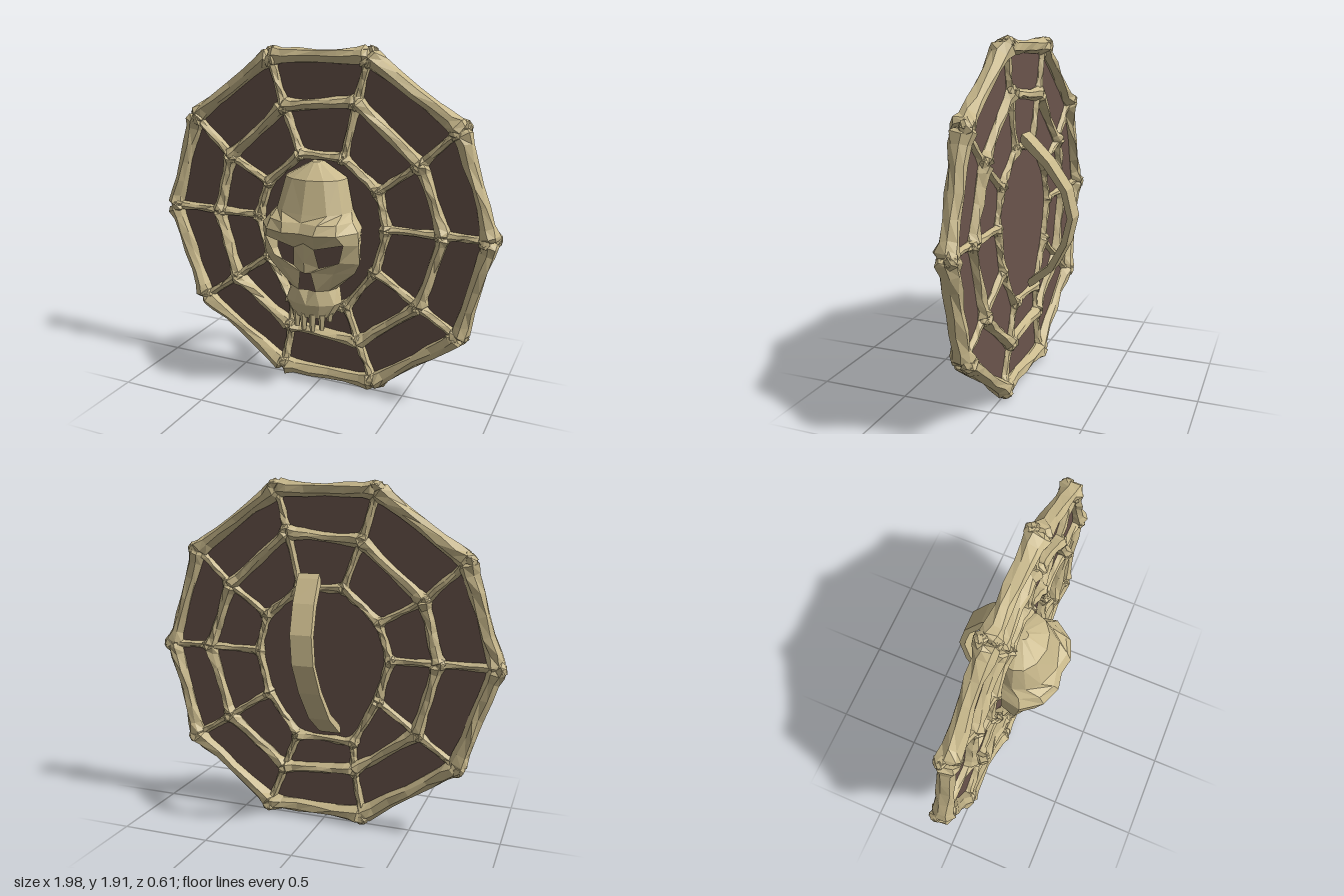
import * as THREE from 'three';

const bone = new THREE.MeshStandardMaterial({ color: 0xc9b98c, flatShading: true, side: THREE.DoubleSide });
bone.name = 'bone';
const hide = new THREE.MeshStandardMaterial({ color: 0x6a544c, side: THREE.DoubleSide });
hide.name = 'hide';

// Corner points of the three rings of bones, clockwise from the top
const outer = [[-0.29, 1.85], [0.27, 1.86], [0.76, 1.52], [0.94, 0.97], [0.8, 0.42],
  [0.33, 0.06], [-0.23, 0.06], [-0.75, 0.41], [-0.94, 0.96], [-0.77, 1.5]];
const middle = [[-0.21, 1.59], [0.21, 1.63], [0.56, 1.33], [0.7, 0.97], [0.58, 0.56],
  [0.24, 0.29], [-0.18, 0.32], [-0.53, 0.57], [-0.635, 0.96], [-0.55, 1.29]];
const inner = [[-0.11, 1.335], [0.14, 1.33], [0.34, 1.17], [0.39, 0.965], [0.33, 0.72],
  [0.16, 0.49], [-0.17, 0.48], [-0.31, 0.73], [-0.375, 0.96], [-0.31, 1.16]];

// Repeatable roughness from a position, so shared corners stay together
function rough(x, y, z, k) {
  const s = Math.sin(Math.round(x * 1e4) * 1.27 + Math.round(y * 1e4) * 3.11 + Math.round(z * 1e4) * 7.43 + k * 41.7) * 4375.85;
  return s - Math.floor(s) - 0.5;
}
function roughen(geo, amount) {
  const p = geo.attributes.position;
  for (let i = 0; i < p.count; i++) {
    const [x, y, z] = [p.getX(i), p.getY(i), p.getZ(i)];
    p.setXYZ(i, x + amount * rough(x, y, z, 1), y + amount * rough(x, y, z, 2), z + amount * rough(x, y, z, 3));
  }
  return geo;
}

function mesh(parent, name, geo, mat = bone) {
  const m = new THREE.Mesh(geo, mat);
  m.name = name;
  parent.add(m);
  return m;
}

// A long bone from a to b: waisted shaft, deeper than wide, with two knuckles at each end
function longBone(parent, name, a, b, r, depth, z) {
  const dx = b[0] - a[0], dy = b[1] - a[1], len = Math.hypot(dx, dy);
  const g = new THREE.Group();
  g.name = name;
  const profile = [[0, 0], [0.9, 0], [1.1, 0.04], [0.88, 0.13], [0.78, 0.3], [0.75, 0.5],
    [0.78, 0.7], [0.88, 0.87], [1.1, 0.96], [0.9, 1], [0, 1]];
  const shaft = new THREE.LatheGeometry(profile.map(([x, y]) => new THREE.Vector2(x * r, y * len)), 7);
  mesh(g, 'shaft', roughen(shaft, r * 0.3).scale(1, 1, depth));
  for (const y of [0, len]) for (const side of [-1, 1]) {
    const knob = roughen(new THREE.IcosahedronGeometry(r * 0.75, 0), r * 0.3);
    mesh(g, 'knuckle', knob).position.set(side * r * 0.5, y, side * r * 0.5 * depth);
  }
  g.position.set(a[0], a[1], z);
  g.rotation.z = Math.atan2(-dx, dy);
  parent.add(g);
}

// Half of the skull as rows from crown to jaw, each from the midline to the side: [x, z]
const skullRows = [
  [1.31, [0, 0.08], [0.015, 0.075], [0.025, 0.06], [0.03, 0.04], [0.03, 0.02]],
  [1.23, [0, 0.185], [0.09, 0.165], [0.15, 0.12], [0.17, 0.07], [0.165, 0.02]],
  [1.06, [0, 0.24], [0.13, 0.215], [0.19, 0.15], [0.215, 0.08], [0.2, 0.02]],
  [1.02, [0, 0.255], [0.1, 0.275], [0.19, 0.23], [0.24, 0.13], [0.22, 0.02]],
  [0.97, [0, 0.285], [0.09, 0.302], [0.2, 0.26], [0.28, 0.15], [0.255, 0.03]],
  [0.9, [0, 0.225], [0.06, 0.22], [0.225, 0.22], [0.28, 0.14], [0.25, 0.03]],
  [0.79, [0, 0.22], [0.075, 0.19], [0.19, 0.19], [0.28, 0.12], [0.25, 0.03]],
  [0.73, [0, 0.215], [0.03, 0.2], [0.15, 0.17], [0.25, 0.11], [0.22, 0.04]],
  [0.62, [0, 0.165], [0.05, 0.18], [0.11, 0.14], [0.135, 0.09], [0.13, 0.03]],
  [0.54, [0, 0.2], [0.075, 0.185], [0.145, 0.14], [0.165, 0.08], [0.14, 0.03]],
  [0.46, [0, 0.18], [0.06, 0.17], [0.1, 0.14], [0.12, 0.09], [0.11, 0.03]]];

function skullShell() {
  const pos = [];
  const openings = ['5,1', '7,0']; // eye socket and nose
  for (const s of [1, -1]) {
    const at = (r, c) => {
      const [x, z] = skullRows[r][c + 1];
      // sockets slant down towards the nose
      const slant = (r === 5 || r === 6) ? [0, -0.03, 0.015, 0, 0][c] : 0;
      return [s * x, skullRows[r][0] + slant, z];
    };
    for (let r = 0; r < skullRows.length - 1; r++) for (let c = 0; c < 4; c++) {
      if (openings.includes(r + ',' + c)) continue;
      const a = at(r, c), b = at(r, c + 1), d = at(r + 1, c), e = at(r + 1, c + 1);
      pos.push(...(s > 0 ? [a, d, b, b, d, e] : [a, b, d, b, e, d]).flat());
    }
    // cap over the crown
    for (let c = 0; c < 4; c++) {
      const a = at(0, c), b = at(0, c + 1), k = [0, 1.31, 0.02];
      pos.push(...(s > 0 ? [k, a, b] : [k, b, a]).flat());
    }
  }
  const g = new THREE.BufferGeometry();
  g.setAttribute('position', new THREE.Float32BufferAttribute(pos, 3));
  g.computeVertexNormals();
  return g;
}

// Bent grip on the back, drawn in side profile and leaned sideways
function gripGeometry() {
  const out = [[0.04, 1.415], [0.07, 1.39], [0.18, 1.27], [0.275, 1.12], [0.305, 0.966], [0.265, 0.81], [0.18, 0.65], [0.07, 0.555], [0.04, 0.535]];
  const inn = out.map(([d, y]) => [Math.max(d - 0.032, 0.03), 0.967 + (y - 0.967) * 0.93]).reverse();
  const shape = new THREE.Shape([...out, ...inn].map(([x, y]) => new THREE.Vector2(x, y)));
  const g = new THREE.ExtrudeGeometry(shape, { depth: 0.12, bevelEnabled: false });
  g.rotateY(Math.PI / 2);
  const p = g.attributes.position;
  for (let i = 0; i < p.count; i++) p.setX(i, p.getX(i) - 0.05 + (p.getY(i) - 0.967) * 0.14);
  g.computeVertexNormals();
  return g;
}

export function createModel() {
  const model = new THREE.Group();
  model.name = 'boneShield';

  // Stretched hide
  const edge = outer.map(([x, y]) => new THREE.Vector2(x, y));
  mesh(model, 'hidePanel', new THREE.ShapeGeometry(new THREE.Shape(edge)), hide);

  // Bone web: three rings and the spokes between them
  const web = new THREE.Group();
  web.name = 'boneWeb';
  model.add(web);
  for (let i = 0; i < 10; i++) {
    const j = (i + 1) % 10;
    longBone(web, 'outerRingBone', outer[i], outer[j], 0.049, 1.25, 0.002);
    longBone(web, 'middleRingBone', middle[i], middle[j], 0.039, 1.5, 0.008);
    longBone(web, 'innerRingBone', inner[i], inner[j], 0.031, 1.6, 0.01);
    longBone(web, 'outerSpoke', middle[i], outer[i], 0.029, 1.5, 0.005);
    longBone(web, 'innerSpoke', inner[i], middle[i], 0.027, 1.5, 0.005);
  }

  // Skull with upper teeth
  const skull = new THREE.Group();
  skull.name = 'skull';
  model.add(skull);
  mesh(skull, 'skullShell', skullShell());
  const teeth = [[0.026, 0.165, 0.1], [0.075, 0.15, 0.09], [0.105, 0.11, 0.05]];
  for (const s of [-1, 1]) for (const [x, z, h] of teeth) {
    const tooth = mesh(skull, 'tooth', new THREE.CylinderGeometry(0.024, 0.015, h, 5));
    tooth.position.set(s * x, 0.48 - h / 2, z);
  }

  mesh(model, 'grip', gripGeometry());
  return model;
}
